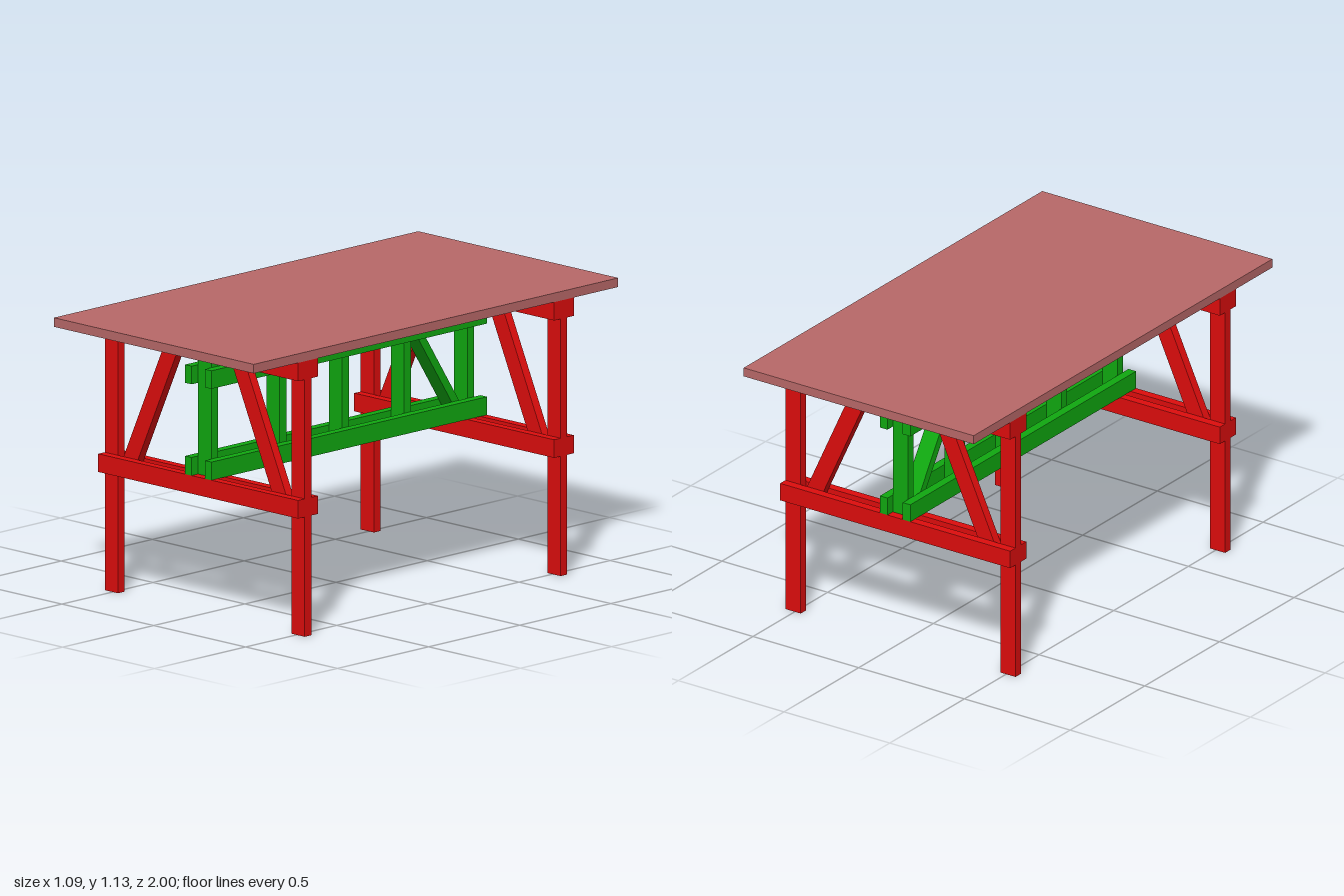
import * as THREE from 'three';

const RED = new THREE.MeshStandardMaterial({ color: 0xdd0d0d });
const GREEN = new THREE.MeshStandardMaterial({ color: 0x10a810 });
const TOP = new THREE.MeshStandardMaterial({ color: 0xb86868 });

const T = 0.036;      // board thickness
const W = 0.072;      // board width
const HALF = 0.544;   // half width of the table
const FRAME_Z = 0.702;

// Board given by its extents on each axis
function board(parent, name, material, [x0, x1], [y0, y1], [z0, z1]) {
  const mesh = new THREE.Mesh(new THREE.BoxGeometry(x1 - x0, y1 - y0, z1 - z0), material);
  mesh.position.set((x0 + x1) / 2, (y0 + y1) / 2, (z0 + z1) / 2);
  mesh.name = name;
  parent.add(mesh);
}

// Slanted board with level ends, centred on its depth
function slanted(name, material, bottom, top, width, y0, y1, depth) {
  const shape = new THREE.Shape([
    new THREE.Vector2(bottom, y0), new THREE.Vector2(bottom + width, y0),
    new THREE.Vector2(top + width, y1), new THREE.Vector2(top, y1),
  ]);
  const geometry = new THREE.ExtrudeGeometry(shape, { depth, bevelEnabled: false });
  geometry.translate(0, 0, -depth / 2);
  const mesh = new THREE.Mesh(geometry, material);
  mesh.name = name;
  return mesh;
}

// Trestle: two legs, two braces and pairs of cross rails clamping them
function trestle(name) {
  const group = new THREE.Group();
  group.name = name;
  const core = [-T / 2, T / 2];
  for (const side of [-1, 1]) {
    const xs = [side * HALF, side * (HALF - W)].sort((a, b) => a - b);
    board(group, 'leg', RED, xs, [0, 1.095], core);
    const [bottom, top] = side > 0 ? [0.397, 0.113] : [-0.475, -0.191];
    group.add(slanted('legBrace', RED, bottom, top, 0.078, 0.476, 1.095, T));
    const zs = side > 0 ? [T / 2, T * 1.5] : [-T * 1.5, -T / 2];
    board(group, 'lowerCrossRail', RED, [-HALF, HALF], [0.476, 0.548], zs);
    board(group, 'upperCrossRail', RED, [-HALF, HALF], [1.022, 1.095], zs);
  }
  board(group, 'centrePost', GREEN, [-W / 2, W / 2], [0.476, 1.095], core);
  return group;
}

export function createModel() {
  const model = new THREE.Group();
  model.name = 'trestleTable';

  board(model, 'tableTop', TOP, [-HALF, HALF], [1.095, 1.131], [-1, 1]);

  // End trestles
  for (const side of [1, -1]) {
    const frame = trestle(side > 0 ? 'frontTrestle' : 'backTrestle');
    frame.position.z = side * FRAME_Z;
    model.add(frame);
  }

  // Long central truss: paired stretchers either side of the posts
  const truss = new THREE.Group();
  truss.name = 'centreTruss';
  for (const xs of [[-W, -W / 2], [W / 2, W]]) {
    board(truss, 'lowerStretcher', GREEN, xs, [0.548, 0.62], [-0.756, 0.756]);
    board(truss, 'upperStretcher', GREEN, xs, [0.911, 0.983], [-0.756, 0.756]);
  }
  for (const z of [0.327, -0.016, -0.356]) {
    board(truss, 'trussPost', GREEN, [-W / 2, W / 2], [0.548, 0.983], [z - T / 2, z + T / 2]);
  }

  // Single diagonal at the back, drawn along x then turned so +x becomes -z
  const diagonal = slanted('trussDiagonal', GREEN, 0.645, 0.363, 0.04, 0.548, 0.983, W);
  diagonal.rotation.y = Math.PI / 2;
  truss.add(diagonal);
  model.add(truss);

  return model;
}
